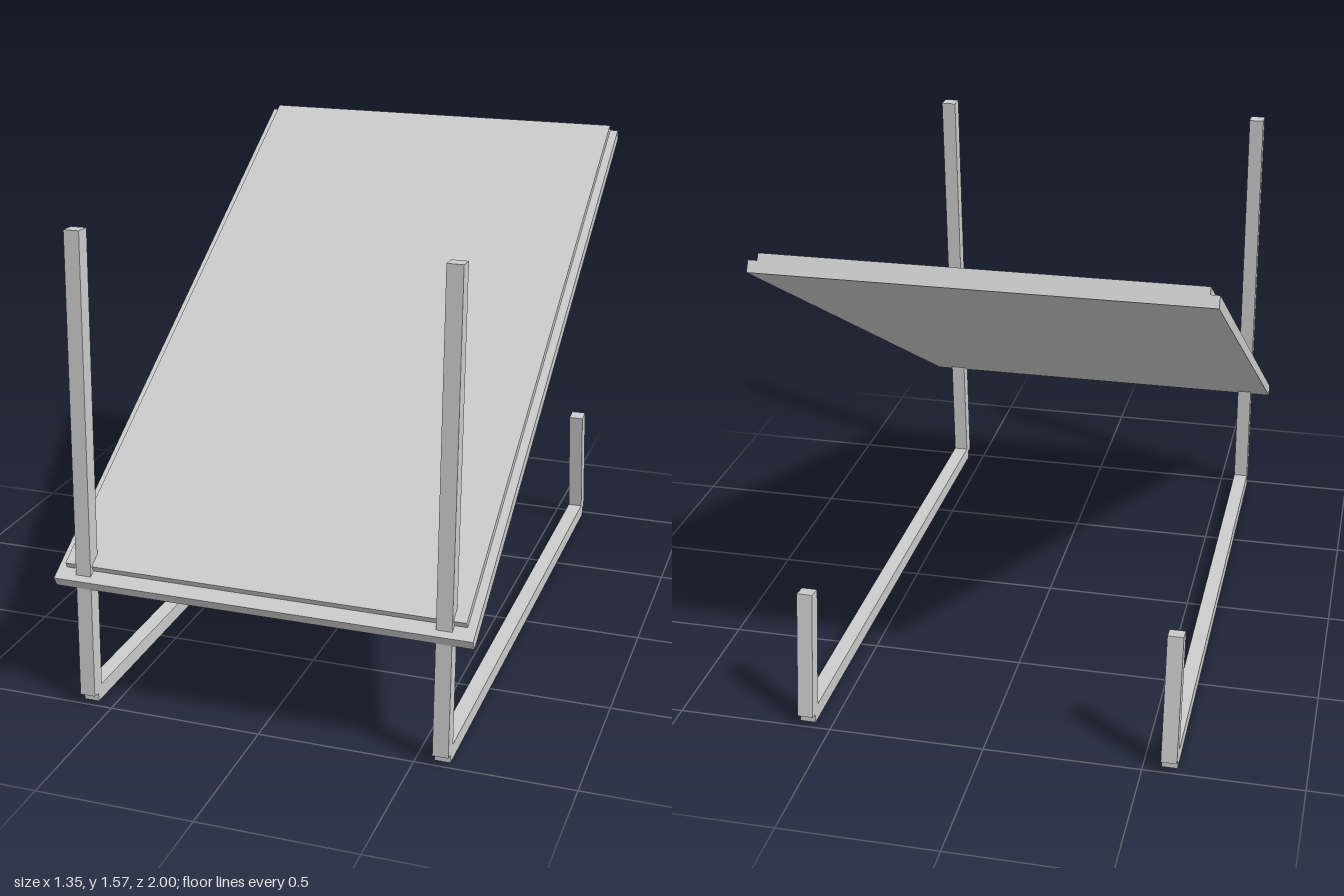
import * as THREE from 'three';

export function createModel() {
  const model = new THREE.Group();
  const grey = new THREE.MeshStandardMaterial({ color: 0xcccccc });
  grey.name = 'lightGrey';

  function box(name, w, h, d, parent) {
    const mesh = new THREE.Mesh(new THREE.BoxGeometry(w, h, d), grey);
    mesh.name = name;
    parent.add(mesh);
    return mesh;
  }

  // Square bar running between two [y, z] points in a side frame
  const bar = 0.05;
  function addBar(name, x, [y0, z0], [y1, z1], parent) {
    const mesh = box(name, bar, bar, Math.hypot(y1 - y0, z1 - z0), parent);
    mesh.position.set(x, (y0 + y1) / 2, (z0 + z1) / 2);
    mesh.rotation.x = -Math.atan2(y1 - y0, z1 - z0);
  }

  // Mirrored side frames: floor rail, tall front post, short back post
  for (const [side, x] of [['left', 0.582], ['right', -0.582]]) {
    const frame = new THREE.Group();
    frame.name = side + 'Frame';
    addBar('floorRail', x, [0.025, -0.972], [0.025, 0.972], frame);
    addBar('frontPost', x, [0.029, 0.973], [1.533, 0.908], frame);
    addBar('backPost', x, [0.029, -0.97], [0.442, -0.909], frame);
    model.add(frame);
  }

  // Tilted board, hinged at its low front edge; local -z runs up the slope
  const board = new THREE.Group();
  board.name = 'board';
  board.position.set(0, 0.397, 0.982);
  board.rotation.x = THREE.MathUtils.degToRad(29.8);
  const length = 2.257, baseH = 0.037, topH = 0.022, inset = 0.047;
  box('basePanel', 1.35, baseH, length, board)
    .position.set(0, baseH / 2, -length / 2);
  // Top sheet is set back at the front and flush at the back
  box('topSheet', 1.295, topH, length - inset, board)
    .position.set(0, baseH + topH / 2, -(length + inset) / 2);
  model.add(board);

  return model;
}
